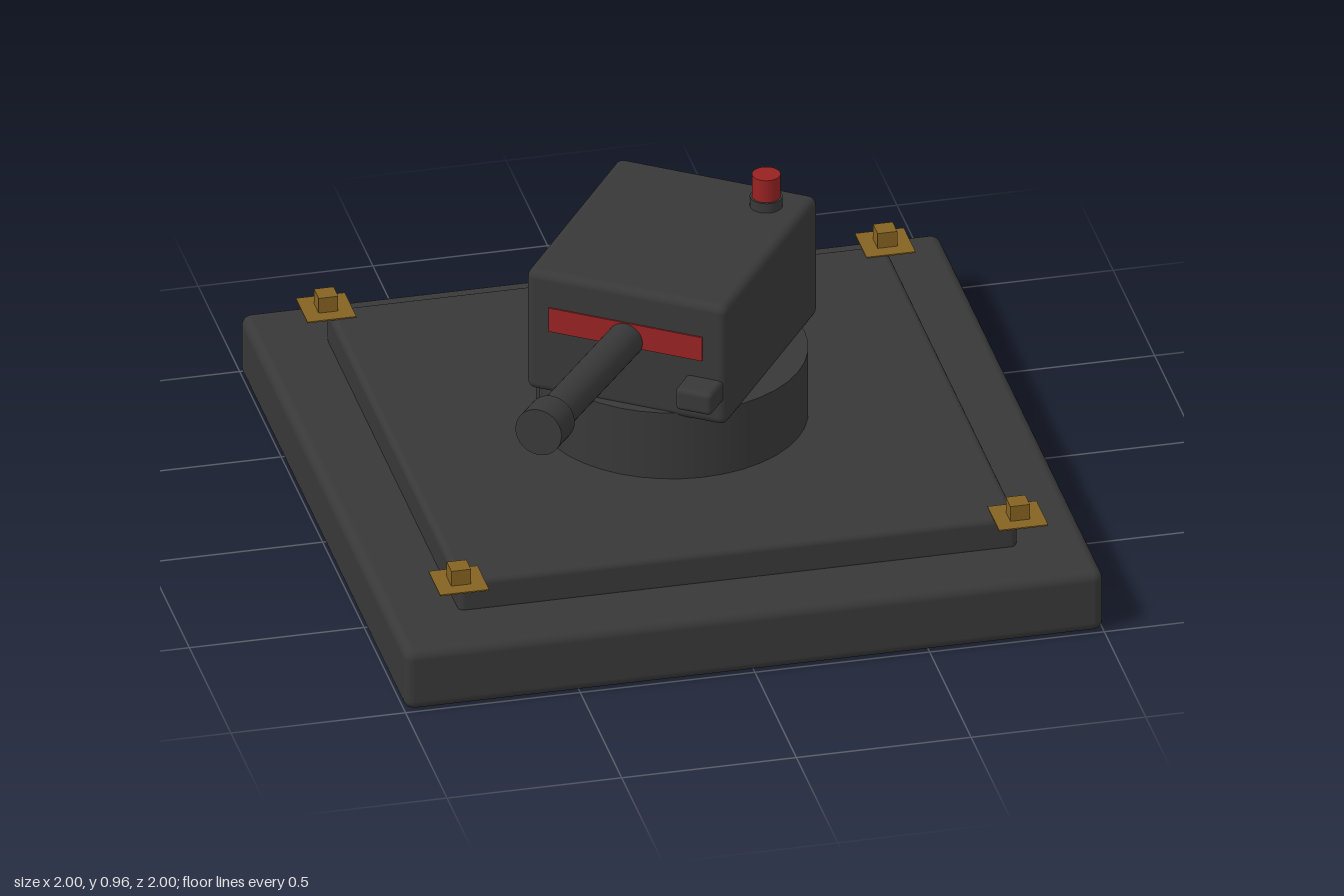
import * as THREE from 'three';
import { RoundedBoxGeometry } from 'three/addons/geometries/RoundedBoxGeometry.js';

function material(name, color) {
  const m = new THREE.MeshStandardMaterial({ color });
  m.name = name;
  return m;
}

export function createModel() {
  const dark = material('charcoal', 0x383838);
  const red = material('signal red', 0x982222);
  const brass = material('dark brass', 0x856222);

  const model = new THREE.Group();
  model.name = 'turret';

  function add(parent, name, geometry, mat, x, y, z) {
    const mesh = new THREE.Mesh(geometry, mat);
    mesh.name = name;
    mesh.position.set(x, y, z);
    parent.add(mesh);
    return mesh;
  }
  const rounded = (w, h, d, r) => new RoundedBoxGeometry(w, h, d, 3, r);
  const cylinder = (r, h) => new THREE.CylinderGeometry(r, r, h, 40);

  // Stepped base and pedestal
  add(model, 'base', rounded(2, 0.19, 2, 0.03), dark, 0, 0.095, 0);
  add(model, 'upperPlate', rounded(1.6, 0.11, 1.6, 0.02), dark, 0, 0.23, 0);
  add(model, 'pedestal', cylinder(0.38, 0.22), dark, 0, 0.385, 0);

  // Corner anchors: thin square washer with a small block on top
  for (const x of [-0.8, 0.8]) {
    for (const z of [-0.8, 0.8]) {
      add(model, 'anchorWasher', new THREE.BoxGeometry(0.14, 0.004, 0.14), brass, x, 0.286, z);
      add(model, 'anchorBlock', new THREE.BoxGeometry(0.056, 0.048, 0.056), brass, x, 0.311, z);
    }
  }

  // Rotating head, turned to its right
  const head = new THREE.Group();
  head.name = 'head';
  head.rotation.y = THREE.MathUtils.degToRad(-35);
  model.add(head);
  add(head, 'housing', rounded(0.6, 0.38, 0.7, 0.025), dark, 0, 0.67, 0);
  add(head, 'frontStripe', new THREE.BoxGeometry(0.46, 0.075, 0.008), red, 0, 0.717, 0.35);
  add(head, 'sensor', rounded(0.11, 0.07, 0.11, 0.015), dark, 0.235, 0.59, 0.38);

  // Barrel, raised slightly
  const gun = new THREE.Group();
  gun.name = 'gun';
  gun.position.set(0, 0.698, 0.33);
  gun.rotation.x = -0.07;
  head.add(gun);
  add(gun, 'barrel', cylinder(0.052, 0.65), dark, 0, 0, 0.31).rotation.x = Math.PI / 2;
  add(gun, 'muzzle', cylinder(0.069, 0.1), dark, 0, 0, 0.63).rotation.x = Math.PI / 2;

  // Warning beacon on the roof
  add(head, 'beaconBase', cylinder(0.046, 0.04), dark, 0.187, 0.87, -0.24);
  add(head, 'beaconLamp', cylinder(0.04, 0.08), red, 0.187, 0.92, -0.24);

  return model;
}
